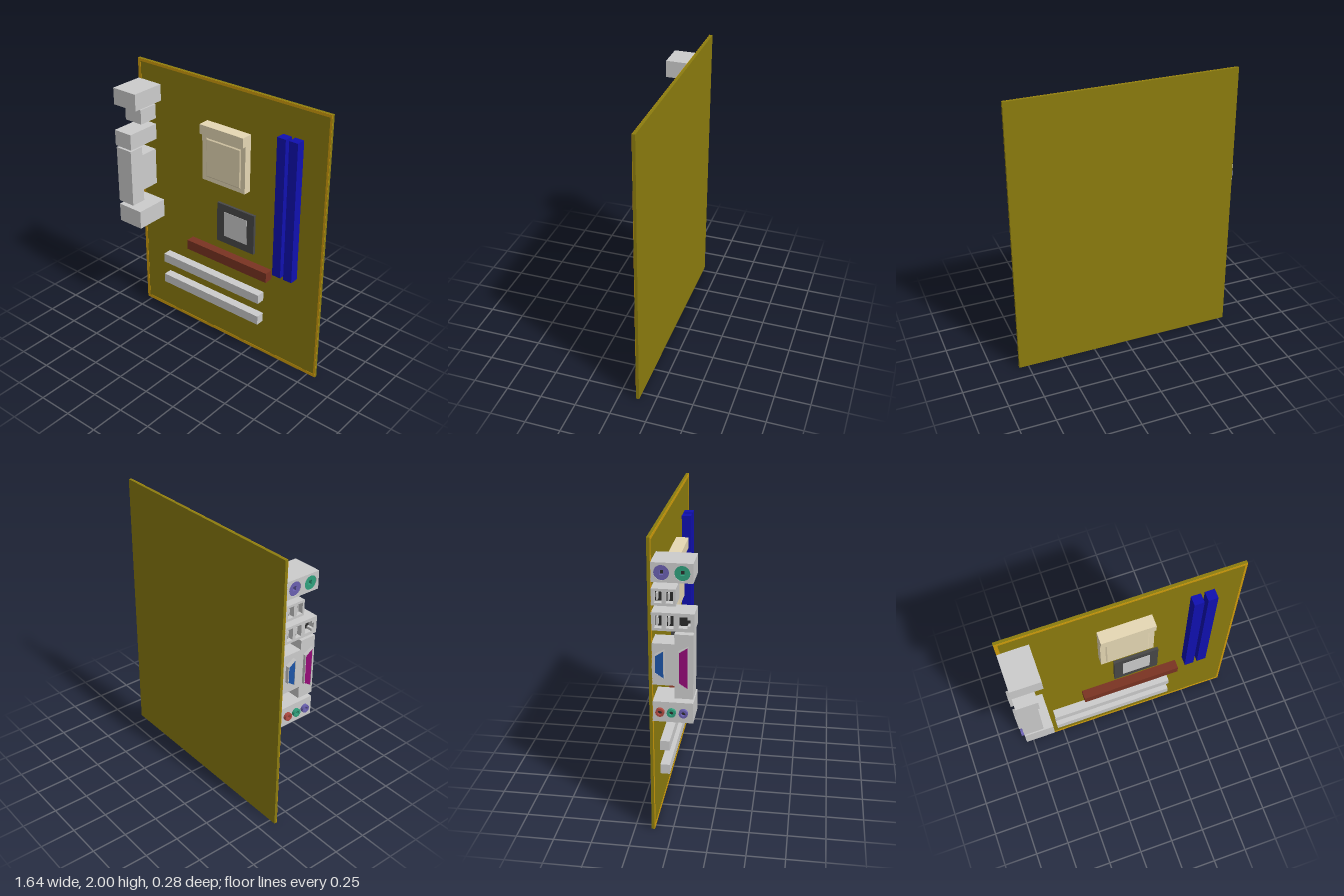
import * as THREE from 'three';

const mat = (color, double) => new THREE.MeshStandardMaterial({ color, side: double ? THREE.DoubleSide : THREE.FrontSide });
const grey = mat(0xcccccc), dark = mat(0x2b2b2b), cream = mat(0xe6d8b4), olive = mat(0x8c7c0e),
  gold = mat(0xd09c0a), blue = mat(0x1010b0), brown = mat(0x7a3322), charcoal = mat(0x484848),
  red = mat(0xb04a40), green = mat(0x2fa07c), purple = mat(0x6a60b0), vgaBlue = mat(0x1c55a8), magenta = mat(0x960a78);

const FACE = -0.795;  // x of the rear port faces
const BOARD = -0.12;  // z of the board's component side

function add(parent, name, geometry, material) {
  const mesh = new THREE.Mesh(geometry, material);
  mesh.name = name;
  parent.add(mesh);
  return mesh;
}

// Box given by its limits on each axis
function box(parent, name, material, [x0, x1], [y0, y1], [z0, z1]) {
  const mesh = add(parent, name, new THREE.BoxGeometry(x1 - x0, y1 - y0, z1 - z0), material);
  mesh.position.set((x0 + x1) / 2, (y0 + y1) / 2, (z0 + z1) / 2);
  return mesh;
}

// Low bevelled plate rising towards +z
function bevelPlate(parent, name, material, [x0, x1], [y0, y1], z, height) {
  const geo = new THREE.CylinderGeometry(Math.SQRT1_2 * 0.94, Math.SQRT1_2, 1, 4, 1).toNonIndexed();
  geo.rotateY(Math.PI / 4).rotateX(Math.PI / 2).scale(x1 - x0, y1 - y0, height);
  geo.computeVertexNormals();
  add(parent, name, geo, material).position.set((x0 + x1) / 2, (y0 + y1) / 2, z + height / 2);
}

const polygon = (points, Type = THREE.Shape) => new Type(points.map(p => new THREE.Vector2(...p)));
const rect = (u0, u1, v0, v1) => [[u0, v0], [u1, v0], [u1, v1], [u0, v1]];
const disc = (u, v, r, n = 20) => Array.from({ length: n }, (_, i) => {
  const a = i / n * Math.PI * 2;
  return [u + r * Math.cos(a), v + r * Math.sin(a)];
});
// D-shaped connector outline, slanted at both ends
const dShape = (u0, u1, v0, v1, t) => [[u0, v0 + 0.035 + t], [u1, v0 + t], [u1, v1 - t], [u0, v1 - 0.035 - t]];

// Prism with outline (z, y), running along x from "inner" out to "outer" (measured beyond FACE)
function prism(parent, name, material, outline, holes, inner, outer) {
  const shape = polygon(outline);
  shape.holes = holes.map(h => polygon(h, THREE.Path));
  const geo = new THREE.ExtrudeGeometry(shape, { depth: outer - inner, bevelEnabled: false });
  geo.rotateY(-Math.PI / 2).translate(FACE - inner, 0, 0);
  return add(parent, name, geo, material);
}

// Port housing: solid block with sockets sunk into its outer face
function housing(parent, name, xEnd, y, zEnd, holes = []) {
  const group = new THREE.Group();
  group.name = name;
  parent.add(group);
  const sink = 0.05;
  prism(group, 'housingFace', grey, rect(BOARD, zEnd, ...y), holes, -sink, 0);
  box(group, 'housingBody', grey, [FACE + sink, xEnd], y, [BOARD, zEnd]);
  holes.forEach(h => prism(group, 'socketFloor', dark, h, [], -sink, -sink + 0.006));
  return group;
}

export function createModel() {
  const model = new THREE.Group();
  model.name = 'circuitBoard';

  // Board with a gold edge strip on the component side
  box(model, 'board', olive, [FACE, 0.815], [0, 2], [-0.14, BOARD]);
  const frame = polygon(rect(FACE, 0.815, 0, 2));
  frame.holes.push(polygon(rect(FACE + 0.024, 0.8, 0.024, 1.98), THREE.Path));
  add(model, 'edgeStrip', new THREE.ExtrudeGeometry(frame, { depth: 0.002, bevelEnabled: false }), gold).position.z = BOARD;

  // Processor socket with its hinge bar
  const socket = new THREE.Group();
  socket.name = 'processorSocket';
  model.add(socket);
  box(socket, 'socketBase', cream, [-0.165, 0.205], [1.28, 1.63], [BOARD, -0.063]);
  bevelPlate(socket, 'socketPad', cream, [-0.13, 0.17], [1.31, 1.6], -0.063, 0.006);
  box(socket, 'socketBar', cream, [-0.165, 0.205], [1.63, 1.7], [BOARD, -0.034]);

  // Chipset
  box(model, 'chipBase', charcoal, [-0.063, 0.26], [0.81, 1.115], [BOARD, -0.1]);
  box(model, 'chipCore', grey, [0, 0.2], [0.868, 1.06], [-0.1, -0.097]);

  // Memory and expansion slots
  for (const x of [0.46, 0.553]) box(model, 'memorySlot', blue, [x, x + 0.067], [0.748, 1.778], [BOARD, -0.054]);
  box(model, 'graphicsSlot', brown, [-0.308, 0.408], [0.66, 0.735], [BOARD, -0.055]);
  for (const y of [0.275, 0.455]) box(model, 'expansionSlot', grey, [-0.545, 0.345], [y, y + 0.07], [BOARD, -0.056]);

  // Keyboard and mouse ports
  const ps2 = housing(model, 'keyboardMousePorts', -0.59, [1.73, 1.852], 0.135,
    [disc(-0.055, 1.79, 0.047), disc(0.07, 1.79, 0.047)]);
  [[-0.055, purple], [0.07, green]].forEach(([z, m]) => {
    prism(ps2, 'portInsert', m, disc(z, 1.79, 0.047), [rect(z - 0.012, z + 0.012, 1.775, 1.805)], -0.03, -0.004);
  });

  // Serial sockets, alone and beside a network jack
  const slots = (y0, y1) => [-0.078, -0.008].map(z => rect(z - 0.023, z + 0.023, y0, y1));
  const tongues = (group, y0, y1) => [-0.078, -0.008].forEach(z =>
    box(group, 'contactTongue', grey, [FACE + 0.01, FACE + 0.05], [y0 + 0.014, y1 - 0.014], [z - 0.012, z - 0.002]));
  const serial = housing(model, 'serialSockets', -0.645, [1.583, 1.69], 0.03, slots(1.6, 1.674));
  tongues(serial, 1.6, 1.674);
  const network = housing(model, 'networkSockets', -0.645, [1.423, 1.54], 0.142, [...slots(1.44, 1.522),
    [[0.045, 1.445], [0.1, 1.445], [0.1, 1.462], [0.118, 1.462], [0.118, 1.5], [0.1, 1.5], [0.1, 1.517], [0.045, 1.517]]]);
  tongues(network, 1.44, 1.522);

  // Monitor and printer connectors: metal shells with coloured inserts
  const connectors = [
    ['monitorPort', [1.08, 1.34], [BOARD, 0.02], [-0.1, -0.04, 1.115, 1.305], vgaBlue, 0.026],
    ['printerPort', [0.978, 1.405], [0.02, 0.135], [0.045, 0.107, 1.05, 1.332], magenta, 0.02],
  ];
  for (const [name, y, z, d, color, out] of connectors) {
    const group = new THREE.Group();
    group.name = name;
    model.add(group);
    box(group, 'portBody', grey, [FACE, -0.657], y, z);
    const [u0, u1, v0, v1] = d, t = 0.005;
    prism(group, 'portShell', grey, dShape(u0, u1, v0, v1, 0),
      [dShape(u0 + t, u1 - t, v0, v1, t)], 0, out);
    prism(group, 'portInsert', color, dShape(u0 + t, u1 - t, v0, v1, t), [], 0, out - 0.003);
  }
  box(model, 'printerPortBase', grey, [FACE, -0.657], [0.978, 1.405], [BOARD, 0.02]).scale.y = 0.6;

  // Audio jacks
  const audio = housing(model, 'audioJacks', -0.59, [0.81, 0.948], 0.135);
  [[-0.072, red], [0, green], [0.075, purple]].forEach(([z, m]) => {
    prism(audio, 'jackRing', m, disc(z, 0.88, 0.028), [disc(z, 0.88, 0.014)], 0, 0.02);
    prism(audio, 'jackHole', dark, disc(z, 0.88, 0.014), [], 0, 0.002);
  });

  return model;
}
